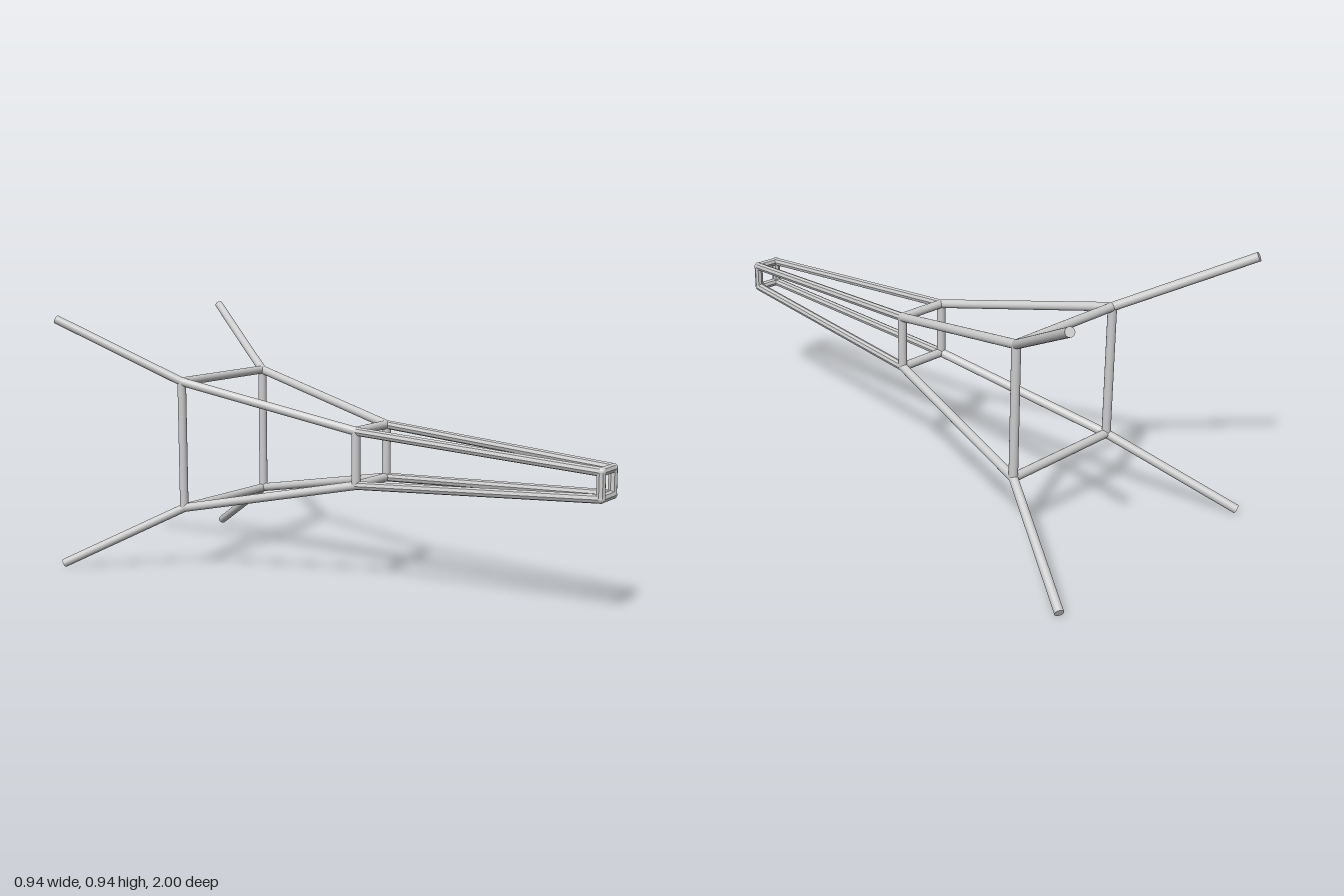
import * as THREE from 'three';

export function createModel() {
  const model = new THREE.Group();
  model.name = 'taperedFrame';
  const steel = new THREE.MeshStandardMaterial({ color: 0xcccccc });
  steel.name = 'light grey steel';

  const R = 0.0155, MID = 0.47;
  const corners = [[1, 1], [-1, 1], [-1, -1], [1, -1]];
  // Square stations along the length: half size and z
  const stations = [[0.043, 0.984], [0.095, 0.085], [0.233, -0.587], [0.455, -0.99]];
  const names = ['front', 'middle', 'rear'];
  const point = ([half, z], [sx, sy]) => new THREE.Vector3(sx * half, MID + sy * half, z);

  // Bar between two points: eight flat sides when faceted, otherwise round
  function bar(name, a, b, parent, faceted) {
    const dir = b.clone().sub(a);
    let geometry = new THREE.CylinderGeometry(R, R, dir.length(), faceted ? 8 : 20);
    if (faceted) {
      geometry = geometry.toNonIndexed();
      geometry.computeVertexNormals();
    }
    const mesh = new THREE.Mesh(geometry, steel);
    mesh.name = name;
    mesh.position.copy(a).add(b).multiplyScalar(0.5);
    mesh.quaternion.setFromUnitVectors(new THREE.Vector3(0, 1, 0), dir.normalize());
    parent.add(mesh);
  }

  // Square frames with welded corners
  names.forEach((name, i) => {
    const frame = new THREE.Group();
    frame.name = name + 'Frame';
    corners.forEach((c, k) => {
      const p = point(stations[i], c);
      bar(name + 'FrameBar', p, point(stations[i], corners[(k + 1) % 4]), frame, i === 0);
      const joint = new THREE.Mesh(new THREE.SphereGeometry(R, 16, 12), steel);
      joint.name = name + 'Joint';
      joint.position.copy(p);
      frame.add(joint);
    });
    model.add(frame);
  });

  // Long rails and splayed rear prongs
  const railNames = ['frontRail', 'rearRail', 'prong'];
  for (const c of corners) {
    railNames.forEach((name, i) =>
      bar(name, point(stations[i], c), point(stations[i + 1], c), model, i === 0));
  }
  return model;
}
